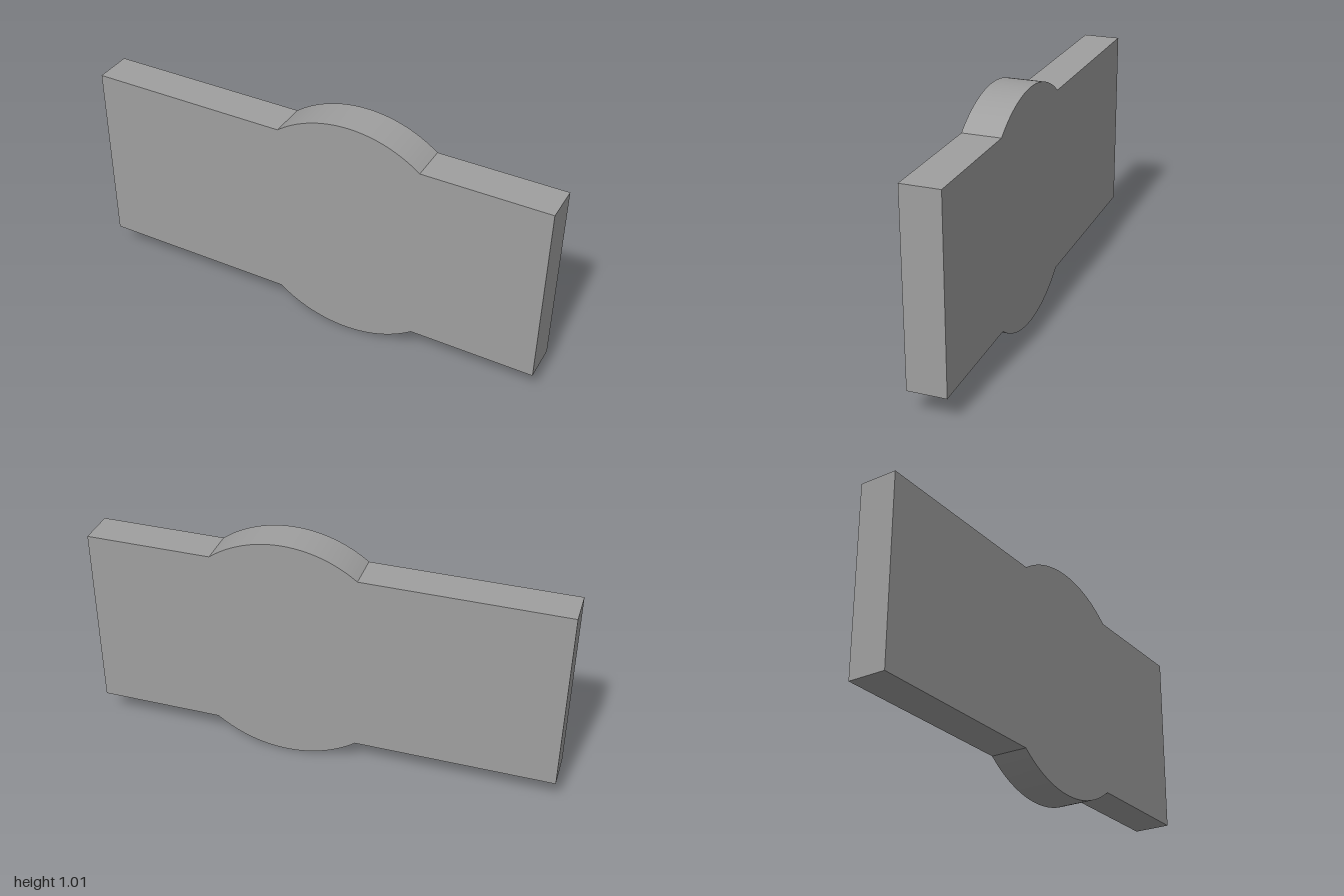
import * as THREE from 'three';
import { toCreasedNormals } from 'three/addons/utils/BufferGeometryUtils.js';

export function createModel() {
  const model = new THREE.Group();
  model.name = 'plateWithRoundBoss';

  const radius = 0.505;      // round boss, resting on the ground
  const halfHeight = 0.4;    // rectangular plate
  const halfLength = 1;
  const thickness = 0.16;
  const bossX = 0.158;
  const angle = Math.asin(halfHeight / radius); // where the circle meets the plate edges

  // Outline: rectangle whose long edges bulge out along one shared circle
  const outline = new THREE.Shape();
  outline.moveTo(-halfLength, radius + halfHeight);
  outline.lineTo(-halfLength, radius - halfHeight);
  outline.absarc(bossX, radius, radius, Math.PI + angle, 2 * Math.PI - angle, false);
  outline.lineTo(halfLength, radius - halfHeight);
  outline.lineTo(halfLength, radius + halfHeight);
  outline.absarc(bossX, radius, radius, angle, Math.PI - angle, false);
  outline.closePath();

  // Extrude to thickness, smooth on the arcs and sharp at the corners
  const solid = new THREE.ExtrudeGeometry(outline, { depth: thickness, bevelEnabled: false, curveSegments: 40 });
  solid.translate(0, 0, -thickness / 2);

  const plate = new THREE.Mesh(
    toCreasedNormals(solid, Math.PI / 9),
    new THREE.MeshStandardMaterial({ color: 0x9f9f9f })
  );
  plate.name = 'plate';
  model.add(plate);
  return model;
}
